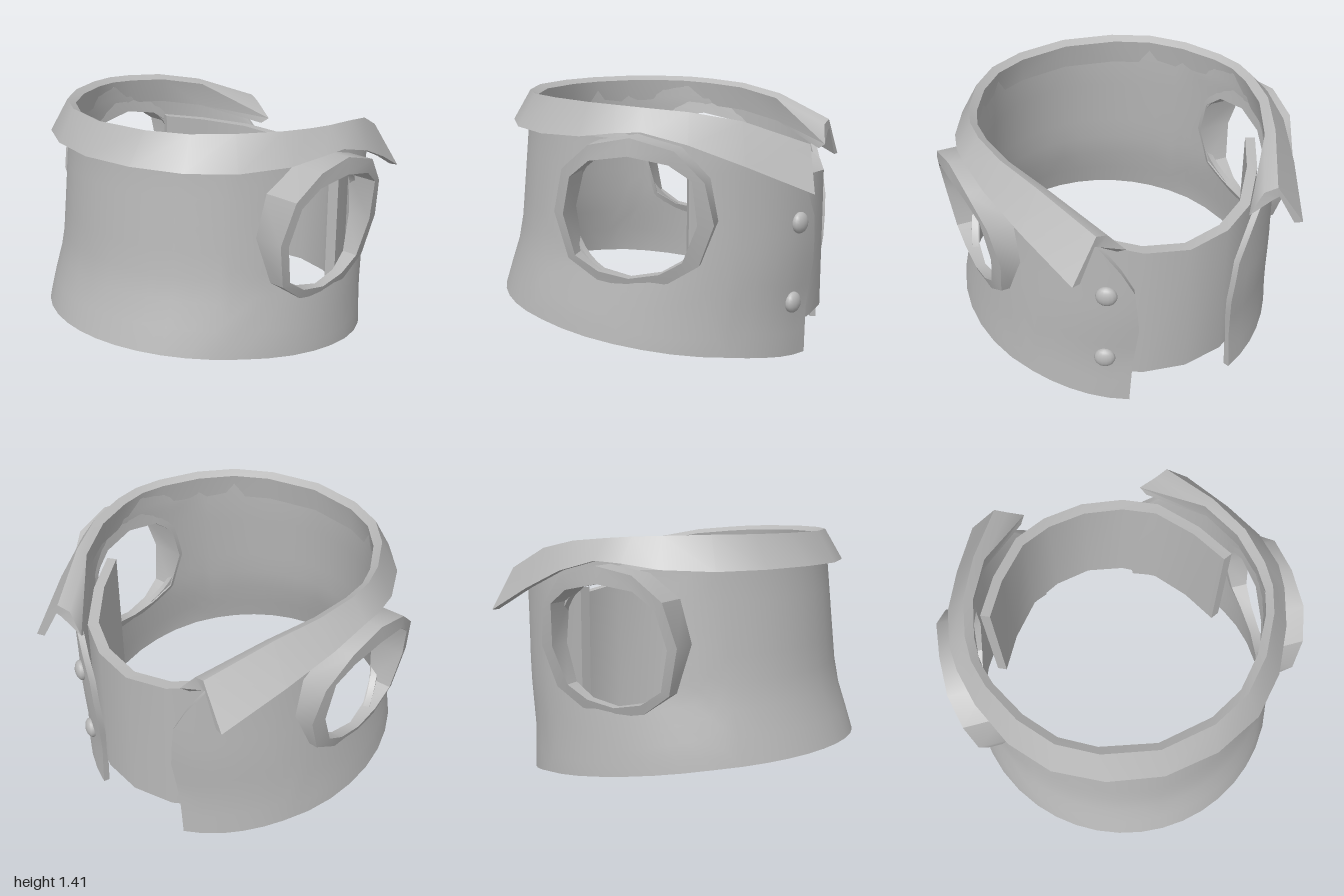
import * as THREE from 'three';
import { mergeGeometries, toCreasedNormals } from 'three/addons/utils/BufferGeometryUtils.js';

const V = (x, y, z) => new THREE.Vector3(x, y, z);
const lerp = THREE.MathUtils.lerp;
const rad = THREE.MathUtils.degToRad;

// Piecewise linear lookup in [[x, value], ...] with x ascending
function lookup(table, x) {
  if (x <= table[0][0]) return table[0][1];
  for (let i = 1; i < table.length; i++) {
    const [x0, y0] = table[i - 1], [x1, y1] = table[i];
    if (x <= x1) return lerp(y0, y1, (x - x0) / (x1 - x0));
  }
  return table[table.length - 1][1];
}

// Joins closed cross-section loops; the ends are capped unless the row is a ring
function loft(rows, ring = false) {
  const pos = [];
  const quad = (a, b, c, d) => [a, b, c, a, c, d].forEach(p => pos.push(p.x, p.y, p.z));
  const n = rows[0].length;
  const last = ring ? rows.length : rows.length - 1;
  for (let i = 0; i < last; i++) {
    const r = rows[i], s = rows[(i + 1) % rows.length];
    for (let j = 0; j < n; j++) quad(r[j], s[j], s[(j + 1) % n], r[(j + 1) % n]);
  }
  if (!ring) {
    const a = rows[0], b = rows[rows.length - 1];
    for (let i = 0; i < n / 2 - 1; i++) {
      quad(a[i], a[i + 1], a[n - 2 - i], a[n - 1 - i]);
      quad(b[n - 1 - i], b[n - 2 - i], b[i + 1], b[i]);
    }
  }
  const g = new THREE.BufferGeometry();
  g.setAttribute('position', new THREE.Float32BufferAttribute(pos, 3));
  return g;
}

// Copy across x = 0 with the corner order reversed
function mirror(g) {
  const m = g.clone(), p = m.attributes.position;
  for (let i = 0; i < p.count; i += 3) {
    const v = [0, 2, 1].map(k => new THREE.Vector3().fromBufferAttribute(g.attributes.position, i + k));
    v.forEach((q, k) => p.setXYZ(i + k, -q.x, q.y, q.z));
  }
  return m;
}
const smooth = (parts, crease = 0.6) => toCreasedNormals(mergeGeometries(parts), crease);

// Body: an ellipse whose size and centre change with height
const HALF_X = [[0, 0.92], [0.2, 0.91], [0.6, 0.865], [0.9, 0.845], [1.25, 0.83]];
const HALF_Z = [[0, 0.938], [0.28, 0.935], [0.6, 0.9], [1.25, 0.88]];
const MID_Z = [[0, 0], [0.28, 0], [0.6, -0.07], [1.25, -0.11]];
const BOTTOM = [[-0.9, 0.01], [-0.7, 0.07], [-0.57, 0.1], [-0.1, 0.17], [0.4, 0.235], [0.9, 0.28]];
const TOP = [[-0.83, 1.04], [-0.6, 1.2], [-0.35, 1.31], [0, 1.35], [0.8, 1.36]];
const FLAP = [[0, 160], [0.5, 161.5], [0.75, 159], [0.9, 153], [1, 146]];
const T1 = rad(50), T2 = rad(125), NV = 8;

function bodyPoint(t, y, inset) {
  return V((lookup(HALF_X, y) - inset) * Math.sin(t), y,
    lookup(MID_Z, y) + (lookup(HALF_Z, y) - inset) * Math.cos(t));
}
const angleAt = (z, y) => Math.acos((z - lookup(MID_Z, y)) / lookup(HALF_Z, y));
function heightAt(t, v) {
  const z = -0.05 + 0.9 * Math.cos(t);
  return lerp(lookup(BOTTOM, z), lookup(TOP, z), v);
}

// Outer skin upwards, inner skin back down; at(v) gives [angle, height]
function shellLoop(at, n) {
  const outer = [], inner = [];
  for (let i = 0; i <= n; i++) {
    const [t, y] = at(i / n);
    outer.push(bodyPoint(t, y, 0));
    inner.unshift(bodyPoint(t, y, 0.035));
  }
  return outer.concat(inner);
}
function bodyStrip(angle, nu) {
  const rows = [];
  for (let i = 0; i <= nu; i++) {
    rows.push(shellLoop(v => { const t = angle(i / nu, v); return [t, heightAt(t, v)]; }, NV));
  }
  return loft(rows);
}
function holeRegion() {
  const rows = [];
  for (let i = 0; i < 4 * NV; i++) {
    const side = Math.floor(i / NV), f = (i % NV) / NV;
    const u = [f, 1, 1 - f, 0][side], v = [1, 1 - f, 0, f][side];
    const phi = Math.atan2(v - 0.5, u - 0.5);
    const z = -0.06 - 0.37 * Math.cos(phi), y = 0.865 + 0.345 * Math.sin(phi);
    const t = lerp(T1, T2, u), ht = angleAt(z, y);
    rows.push(shellLoop(k => [lerp(ht, t, k), lerp(y, heightAt(t, v), k)], 5));
  }
  return loft(rows, true);
}

// Armhole rims as [z, y] outlines
const RIM_IN = [[0.13, 1.15], [0.24, 1.06], [0.29, 0.86], [0.24, 0.64], [0.12, 0.56], [-0.04, 0.53],
  [-0.2, 0.56], [-0.32, 0.63], [-0.4, 0.83], [-0.38, 1.06], [-0.27, 1.14], [-0.07, 1.18]];
const RIM_OUT = [[0.13, 1.23], [0.28, 1.1], [0.34, 0.87], [0.28, 0.62], [0.13, 0.51], [-0.04, 0.48],
  [-0.24, 0.51], [-0.4, 0.61], [-0.48, 0.83], [-0.44, 1.05], [-0.3, 1.21], [-0.08, 1.27]];
const RIM_X = [[0.48, 0.87], [0.65, 0.92], [0.95, 0.97], [1.22, 1.0], [1.28, 0.985]];
function armholeRim() {
  const rim = ([z, y]) => V(lookup(RIM_X, y) - 0.35 * z * z, y, z);
  const base = ([z, y], inset) => V(bodyPoint(angleAt(z, y), y, 0).x - inset, y, z);
  return loft(RIM_IN.map((p, i) =>
    [base(p, 0.045), rim(p), rim(RIM_OUT[i]), base(RIM_OUT[i], 0.03)]).reverse(), true);
}

// Collar: inner x, z; outer x, z; top height; lower edge height
const COLLAR = [
  [0, 0.70, 0, 0.85, 1.42, 1.25], [0.3, 0.64, 0.3, 0.80, 1.42, 1.25],
  [0.48, 0.54, 0.56, 0.67, 1.42, 1.245], [0.62, 0.38, 0.74, 0.47, 1.42, 1.24],
  [0.73, 0.18, 0.86, 0.22, 1.415, 1.25], [0.77, 0.05, 0.91, 0.02, 1.41, 1.28],
  [0.77, -0.1, 0.92, -0.12, 1.40, 1.29], [0.73, -0.32, 0.89, -0.35, 1.38, 1.23],
  [0.62, -0.56, 0.80, -0.62, 1.33, 1.12], [0.43, -0.88, 0.66, -0.95, 1.2, 0.97]];
function collarHalf() {
  return loft(COLLAR.map(([ix, iz, ox, oz, top, low], i) => {
    const at = (k, y) => V(lerp(ix, ox, k), y, lerp(iz, oz, k));
    const end = i === COLLAR.length - 1;
    return [
      at(1, low), at(0.35, top), at(0.05, top - 0.025),
      end ? V(0.35, 1.07, -0.9) : at(0.2, top - 0.17),
      end ? V(0.38, 1.04, -0.86) : at(0.42, top - 0.17),
      at(0.28, top - 0.07), at(0.4, top - 0.055), at(0.8, low)];
  }));
}

// Back panel tucked inside the flaps: x, z, lower edge, upper edge
const PANEL = [[0.73, -0.32, 0.26, 1.13], [0.61, -0.55, 0.23, 1.09], [0.43, -0.78, 0.2, 1.04],
  [0.24, -0.885, 0.19, 1.0], [0, -0.93, 0.19, 0.98]];
function backPanel() {
  const pts = PANEL.concat(PANEL.slice(0, -1).reverse().map(([x, ...r]) => [-x, ...r]));
  return loft(pts.map(([x, z, low, top]) => {
    const k = 0.93, ix = x * k, iz = z * k;
    return [V(x, low, z), V(x, top, z), V(ix, top, iz), V(ix, low, iz)];
  }));
}

export function createModel() {
  const model = new THREE.Group();
  const grey = new THREE.MeshStandardMaterial({ color: 0xb8b8b8, side: THREE.DoubleSide });
  grey.name = 'plain grey';
  const add = (name, geometry) => {
    const mesh = new THREE.Mesh(geometry, grey);
    mesh.name = name;
    model.add(mesh);
    return mesh;
  };

  // Main shell, open at the back
  const sidePieces = [
    bodyStrip(u => lerp(0, T1, u), 6),
    holeRegion(),
    bodyStrip((u, v) => lerp(T2, rad(lookup(FLAP, v)), u), 5)];
  add('body', smooth([...sidePieces, ...sidePieces.map(mirror)]));

  // Folded collar
  const collar = collarHalf();
  add('collar', smooth([collar, mirror(collar)], 0.7));

  // Armhole rims on both sides
  const rim = armholeRim();
  add('leftArmholeRim', smooth([rim]));
  add('rightArmholeRim', smooth([mirror(rim)]));

  add('backPanel', smooth([backPanel()]));

  // Domed buttons on the left flap
  for (const y of [0.33, 0.77]) {
    const x = 0.435;
    const t = Math.PI - Math.asin(x / lookup(HALF_X, y));
    const button = add('button', new THREE.SphereGeometry(0.058, 14, 10));
    button.scale.z = 0.6;
    button.position.copy(bodyPoint(t, y, -0.005));
    button.rotation.y = t;
  }
  return model;
}
